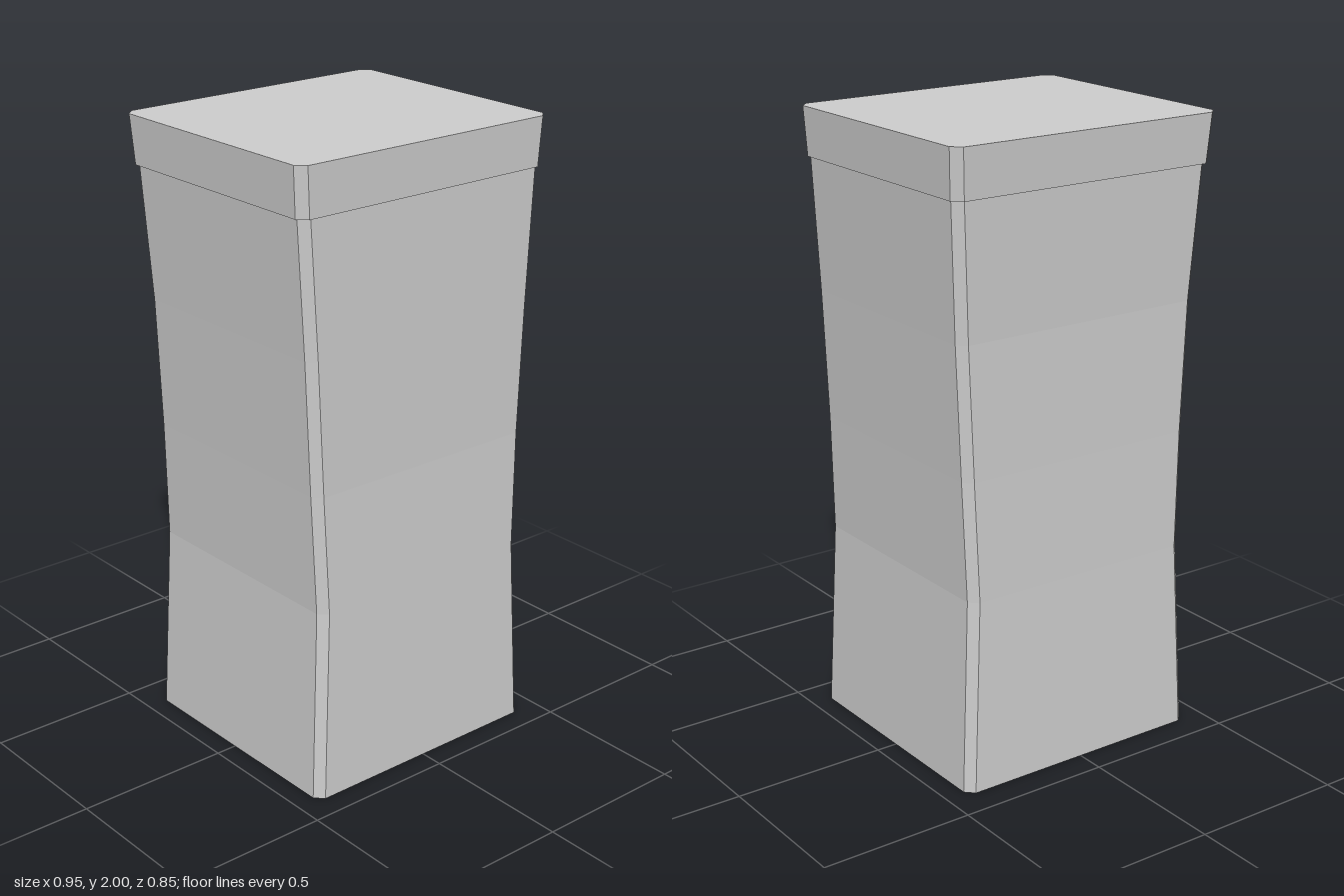
import * as THREE from 'three';

// Closed loft through chamfered rectangles, each given as [y, halfWidth, zBack, zFront]
function chamferedLoft(levels, chamfer) {
  const pos = [];
  const index = [];
  for (const [y, w, back, front] of levels) {
    const c = chamfer;
    const ring = [
      [w - c, front], [w, front - c], [w, back + c], [w - c, back],
      [-w + c, back], [-w, back + c], [-w, front - c], [-w + c, front],
    ];
    for (const [x, z] of ring) pos.push(x, y, z);
  }
  const top = (levels.length - 1) * 8;
  for (let r = 0; r < top; r += 8) {
    for (let i = 0; i < 8; i++) {
      const a = r + i, b = r + (i + 1) % 8;
      index.push(a, b, b + 8, a, b + 8, a + 8);
    }
  }
  // End faces
  for (let i = 1; i < 7; i++) {
    index.push(0, i + 1, i);
    index.push(top, top + i, top + i + 1);
  }
  const indexed = new THREE.BufferGeometry();
  indexed.setAttribute('position', new THREE.Float32BufferAttribute(pos, 3));
  indexed.setIndex(index);
  const geometry = indexed.toNonIndexed();
  geometry.computeVertexNormals();
  return geometry;
}

export function createModel() {
  const group = new THREE.Group();
  group.name = 'pillar';
  const stone = new THREE.MeshStandardMaterial({ color: 0xcccccc });
  stone.name = 'light grey';

  // Waisted shaft, leaning slightly between front and back
  const shaft = new THREE.Mesh(chamferedLoft([
    [0, 0.432, -0.407, 0.424],
    [0.62, 0.404, -0.393, 0.411],
    [1.0, 0.417, -0.386, 0.402],
    [1.42, 0.435, -0.386, 0.401],
    [1.845, 0.459, -0.405, 0.4],
  ], 0.027), stone);
  shaft.name = 'shaft';

  // Slightly flared cap slab
  const cap = new THREE.Mesh(chamferedLoft([
    [1.845, 0.467, -0.415, 0.404],
    [2, 0.476, -0.426, 0.409],
  ], 0.028), stone);
  cap.name = 'cap';

  group.add(shaft, cap);
  return group;
}
